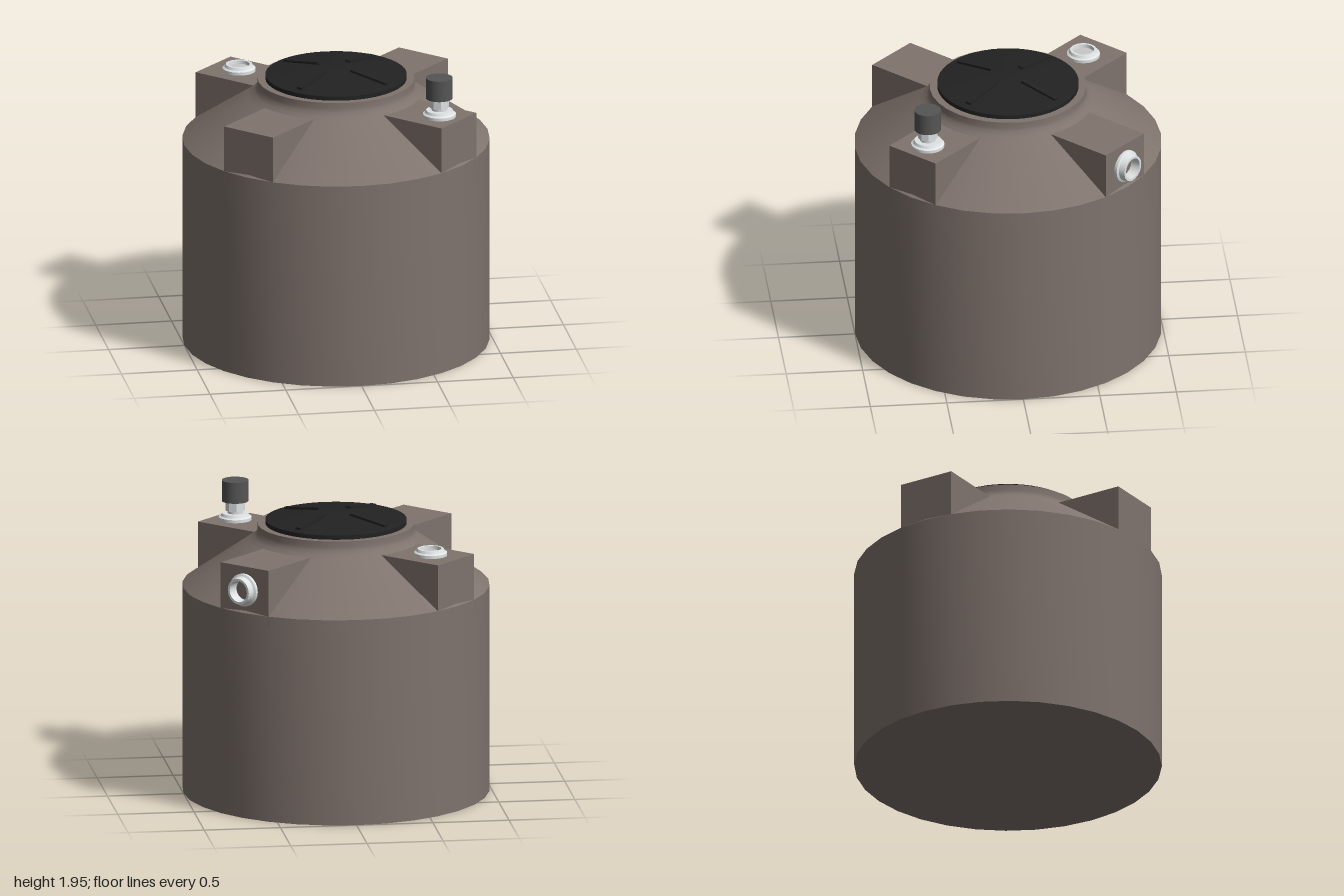
import * as THREE from 'three';
import { toCreasedNormals } from 'three/addons/utils/BufferGeometryUtils.js';

const mat = (name, color) => {
  const m = new THREE.MeshStandardMaterial({ color });
  m.name = name;
  return m;
};

export function createModel() {
  const tankBrown = mat('tank brown', 0x7f736d);
  const lidBlack = mat('lid black', 0x222222);
  const fittingWhite = mat('fitting white', 0xdfe3e3);
  const plugGrey = mat('plug grey', 0xc8c8c8);
  const capGrey = mat('cap grey', 0x555555);

  const model = new THREE.Group();
  model.name = 'waterTank';

  const add = (name, geometry, material, parent = model) => {
    const mesh = new THREE.Mesh(geometry, material);
    mesh.name = name;
    parent.add(mesh);
    return mesh;
  };
  const lathe = (points, sides) => toCreasedNormals(
    new THREE.LatheGeometry(points.map(([r, y]) => new THREE.Vector2(r, y)), sides), 0.5);
  const group = (name, x, y, z) => {
    const g = new THREE.Group();
    g.name = name;
    g.position.set(x, y, z);
    model.add(g);
    return g;
  };

  // Tank wall, sloping shoulder and neck
  add('tankBody', lathe([
    [0, 0], [1, 0], [1, 1.373], [0.575, 1.667], [0.535, 1.695],
    [0.515, 1.72], [0.51, 1.74], [0.51, 1.78], [0, 1.78],
  ], 32), tankBrown);

  // Four raised blocks on the diagonals, flush with the wall
  for (let i = 0; i < 4; i++) {
    const pivot = group('shoulderBlock', 0, 0, 0);
    pivot.rotation.y = Math.PI / 4 + i * Math.PI / 2;
    const block = add('block', new THREE.BoxGeometry(0.39, 0.38, 0.521), tankBrown, pivot);
    block.position.set(0, 1.49, 0.7205);
  }

  // Lid with four sloping ribs
  add('lid', lathe([
    [0, 1.775], [0.46, 1.775], [0.46, 1.808], [0.1, 1.855], [0, 1.857],
  ], 48), lidBlack);
  for (let i = 0; i < 4; i++) {
    const pivot = group('lidRib', 0, 0, 0);
    pivot.rotation.y = Math.PI / 4 + i * Math.PI / 2;
    const rib = add('rib', new THREE.BoxGeometry(0.04, 0.03, 0.285), lidBlack, pivot);
    rib.position.set(0, 1.833, 0.268);
    rib.rotation.x = 0.135;
  }

  // Hollow flanged collar, standing on y = 0
  const collar = (h) => lathe([
    [0.108, 0], [0.108, 0.02], [0.094, 0.028], [0.086, h], [0.07, h], [0.066, 0],
  ], 32);

  // Plugged inlet on the back block
  const inlet = group('topInlet', -0.547, 1.68, -0.547);
  add('inletCollar', collar(0.045), fittingWhite, inlet);
  add('inletPlug', new THREE.CylinderGeometry(0.07, 0.07, 0.02, 32), plugGrey, inlet).position.y = 0.012;

  // Open outlet on the outer face of the back left block
  const outward = new THREE.Vector3(1, 0, -1).normalize();
  const outlet = group('sideOutlet', 0.981 * outward.x, 1.525, 0.981 * outward.z);
  outlet.quaternion.setFromUnitVectors(new THREE.Vector3(0, 1, 0), outward);
  add('outletCollar', collar(0.068), fittingWhite, outlet);

  // Vent: flange and stem, nut, dark cap
  const vent = group('vent', 0.583, 1.68, 0.583);
  add('ventFlange', lathe([
    [0.108, 0], [0.108, 0.02], [0.094, 0.028], [0.086, 0.045], [0.05, 0.045], [0.05, 0.13],
  ], 32), fittingWhite, vent);
  add('ventNut', toCreasedNormals(new THREE.CylinderGeometry(0.064, 0.064, 0.06, 8), 0.5),
    fittingWhite, vent).position.y = 0.092;
  add('ventCap', new THREE.CylinderGeometry(0.087, 0.087, 0.14, 32), capGrey, vent).position.y = 0.195;

  return model;
}
